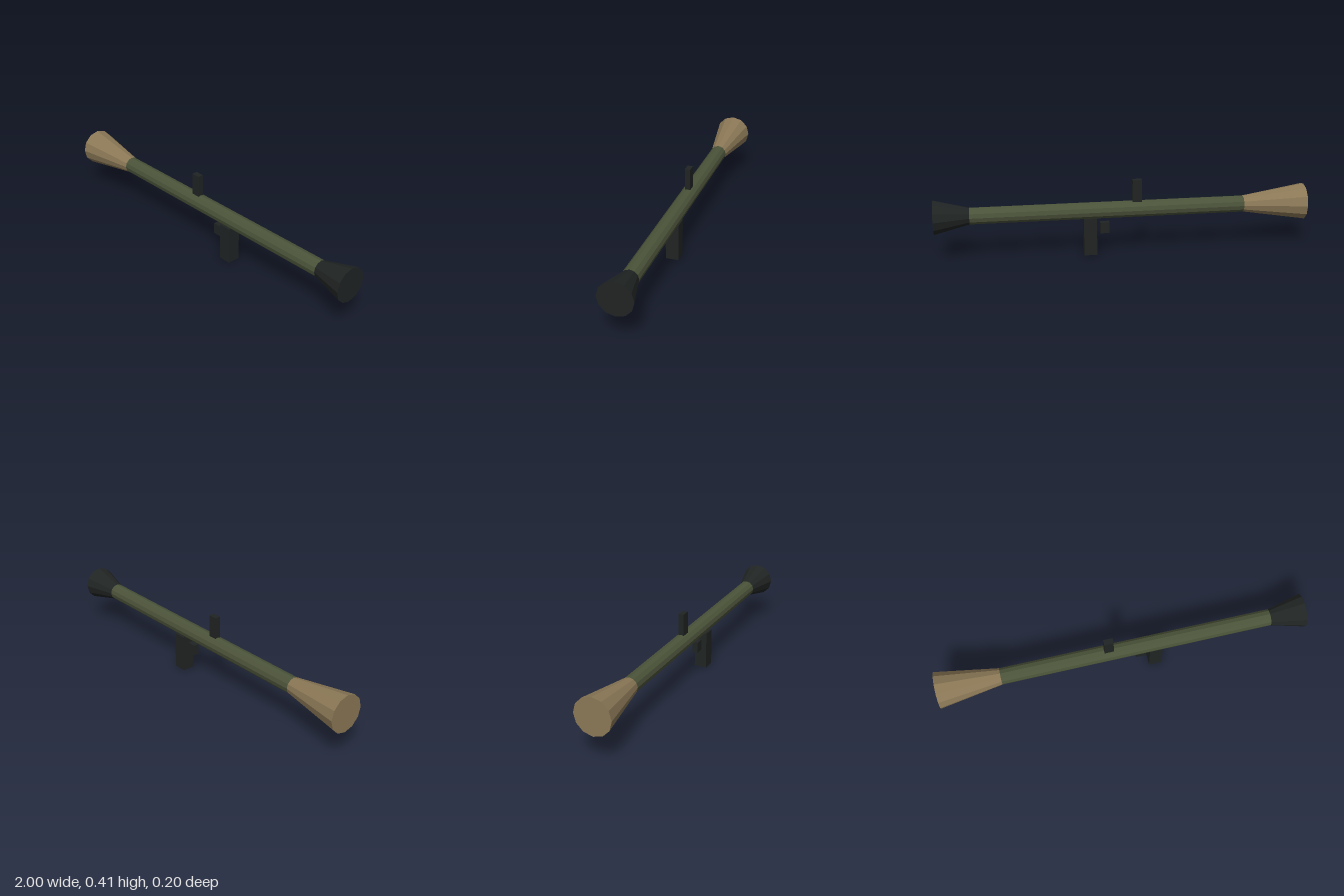
import * as THREE from 'three';

const AXIS_Y = 0.243;
const material = (color) => new THREE.MeshStandardMaterial({ color, flatShading: true });

export function createModel() {
  const group = new THREE.Group();
  const olive = material(0x4b5339);
  const tan = material(0x8b7856);
  const dark = material(0x202423);

  // Twelve-sided section lying along x, from x0 (radius r0) to x1 (radius r1)
  function section(name, x0, r0, x1, r1, mat) {
    const geometry = new THREE.CylinderGeometry(r1, r0, x1 - x0, 12);
    geometry.rotateZ(-Math.PI / 2);
    const mesh = new THREE.Mesh(geometry, mat);
    mesh.name = name;
    mesh.position.set((x0 + x1) / 2, AXIS_Y, 0);
    group.add(mesh);
  }

  // Block centred on z = 0, given by its x and y limits
  function block(name, x0, x1, y0, y1, depth) {
    const mesh = new THREE.Mesh(new THREE.BoxGeometry(x1 - x0, y1 - y0, depth), dark);
    mesh.name = name;
    mesh.position.set((x0 + x1) / 2, (y0 + y1) / 2, 0);
    group.add(mesh);
  }

  // Tube with a flared cone at each end
  section('tube', -0.66, 0.045, 0.815, 0.045, olive);
  section('rearCone', -1, 0.1, -0.66, 0.045, tan);
  section('frontCone', 0.815, 0.045, 1, 0.092, dark);

  // Fittings
  block('grip', 0.145, 0.215, 0, 0.205, 0.07);
  block('trigger', 0.075, 0.125, 0.115, 0.175, 0.03);
  block('sight', -0.1, -0.05, 0.28, 0.405, 0.03);

  return group;
}
